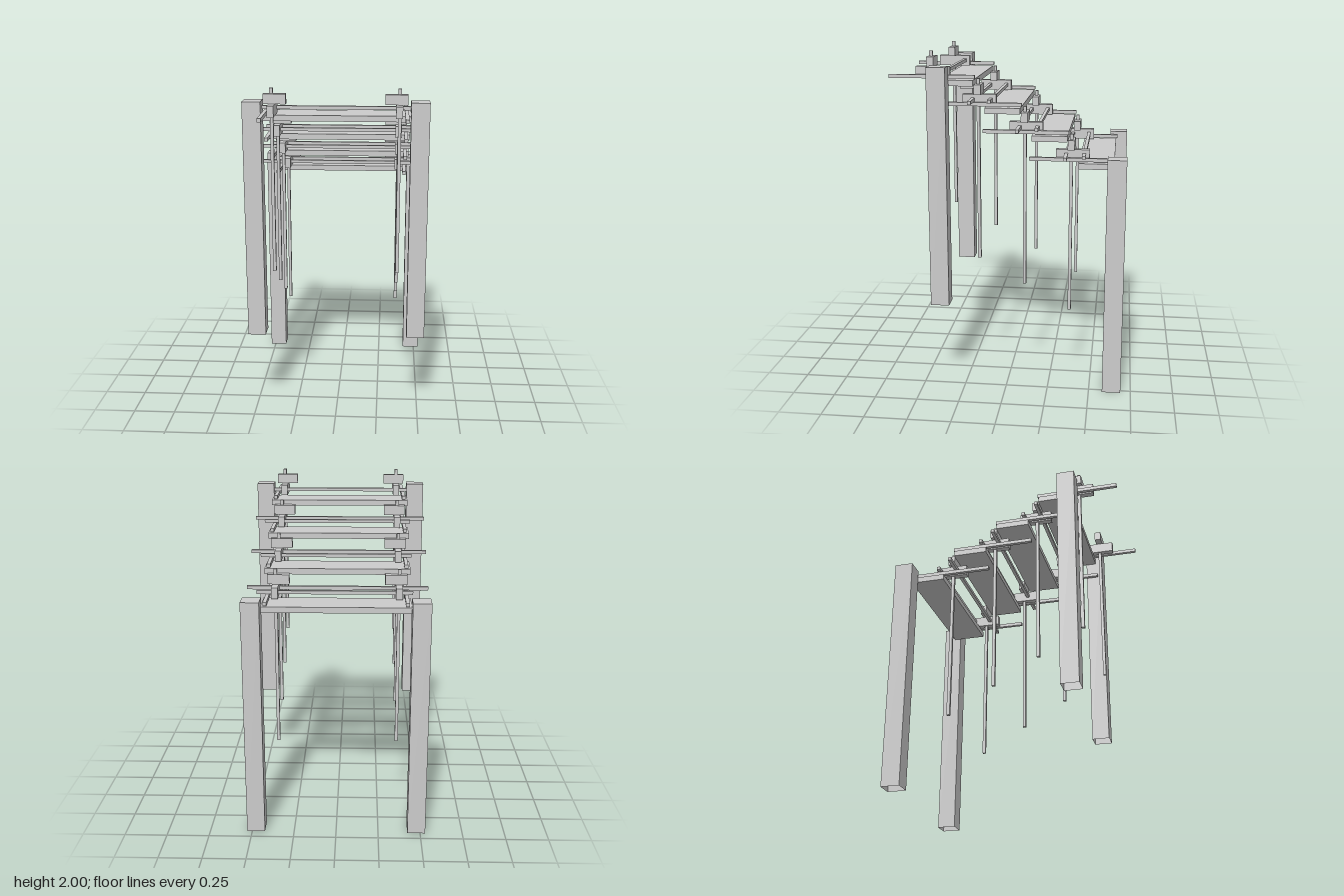
import * as THREE from 'three';

const material = new THREE.MeshStandardMaterial({ color: 0xcccccc, flatShading: true });
const openMaterial = new THREE.MeshStandardMaterial({
  color: 0xcccccc, flatShading: true, side: THREE.DoubleSide,
});

// Box given by its lower and upper limits on each axis
function box(name, [x0, x1], [y0, y1], [z0, z1]) {
  const geometry = new THREE.BoxGeometry(x1 - x0, y1 - y0, z1 - z0);
  const mesh = new THREE.Mesh(geometry, material);
  mesh.position.set((x0 + x1) / 2, (y0 + y1) / 2, (z0 + z1) / 2);
  mesh.name = name;
  return mesh;
}

// Hollow-ended post: a box without its bottom face
function post(name, x, y, z) {
  const mesh = box(name, x, y, z);
  const index = Array.from(mesh.geometry.index.array);
  index.splice(18, 6);
  mesh.geometry.setIndex(index);
  mesh.geometry.clearGroups();
  mesh.material = openMaterial;
  return mesh;
}

const around = (centre, size) => [centre - size / 2, centre + size / 2];

export function createModel() {
  const model = new THREE.Group();
  model.name = 'steppedFrame';

  // Four corner posts, the front pair set higher
  for (const s of [-1, 1]) {
    const x = around(s * 0.477, 0.106);
    model.add(post('frontPost', x, [0.51, 1.92], [0.339, 0.448]));
    model.add(post('backPost', x, [0, 1.415], [-0.69, -0.58]));
  }

  // Four identical steps, descending towards the back
  for (let i = 0; i < 4; i++) {
    const step = new THREE.Group();
    step.name = 'step' + (i + 1);
    const y = 1.88 - i * 0.156;
    const z = 0.448 - i * 0.272;

    // Tread plank
    step.add(box('plank', [-0.425, 0.425], [y - 0.075, y - 0.041], [z - 0.25, z - 0.044]));

    // Cross bar under the arms
    step.add(box('crossBar', [-0.437, 0.463], around(y, 0.02), around(z - 0.075, 0.02)));
    // Longer bar carried behind the tread
    if (i > 0) step.add(box('longBar', [-0.53, 0.53], around(y, 0.02), around(z + 0.029, 0.02)));

    for (const s of [-1, 1]) {
      // Side rail running front to back
      step.add(box('sideRail', around(s * 0.4, 0.021), [y - 0.034, y - 0.013], [z - 0.258, z + 0.242]));
      // Short arm with a block across it
      step.add(box('arm', around(s * 0.358, 0.038), [y - 0.034, y + 0.031], around(z - 0.008, 0.196)));
      step.add(box('block', around(s * 0.342, 0.128), [y + 0.031, y + 0.088], around(z, 0.04)));
      // Long hanging rod through the block
      step.add(box('hangingRod', around(s * 0.36, 0.019), [y - 0.957, y + 0.12], around(z, 0.019)));
    }
    model.add(step);
  }

  return model;
}
